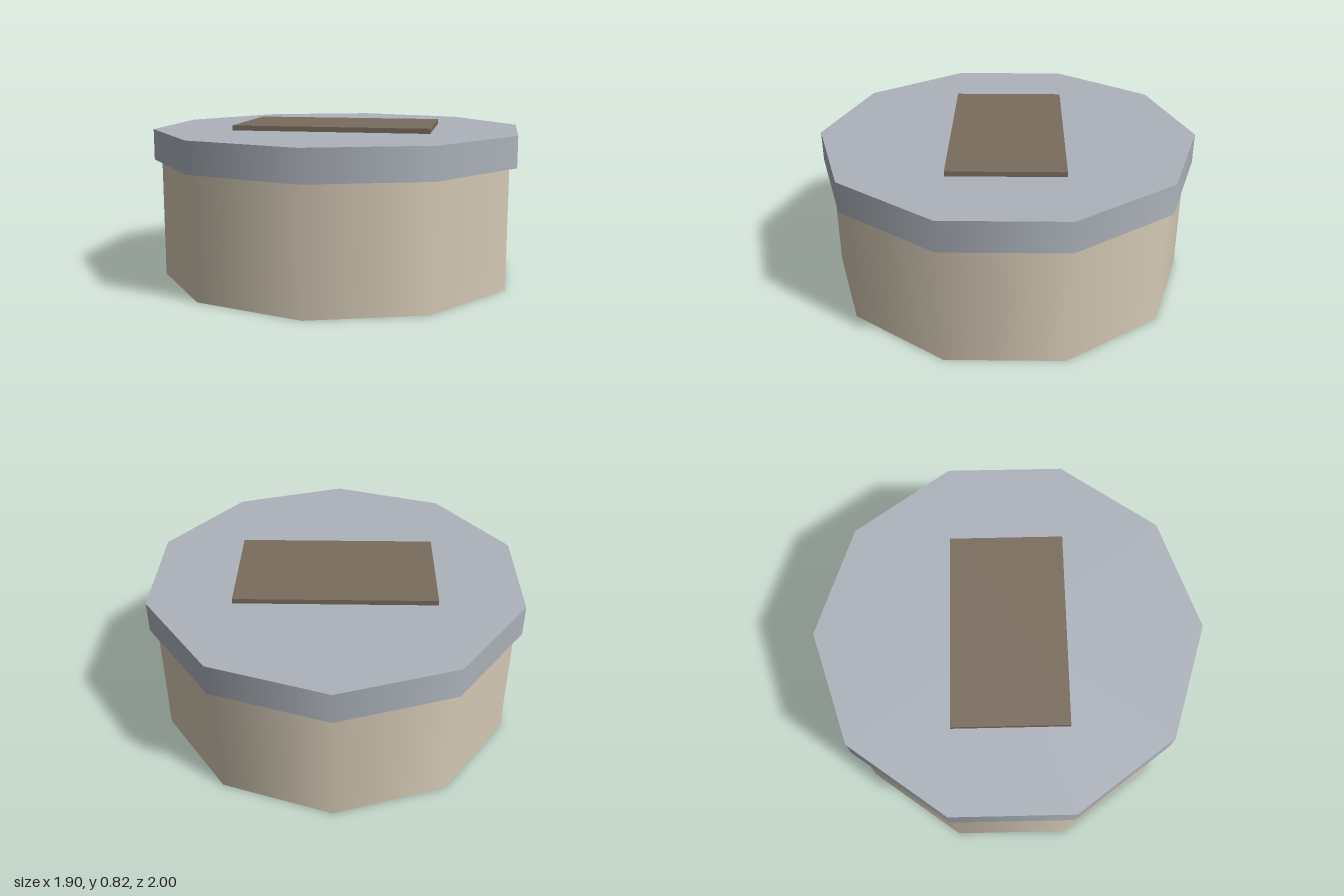
import * as THREE from 'three';

const SIDES = 10;

function material(name, color) {
  const m = new THREE.MeshStandardMaterial({ color });
  m.name = name;
  return m;
}

export function createModel() {
  const group = new THREE.Group();
  group.name = 'lidded box';

  const cream = material('cream', 0xd6cab6);
  const grey = material('blue grey', 0xadb3bc);
  const brown = material('brown', 0x796c5d);

  function add(name, geometry, mat, bottom, height) {
    const mesh = new THREE.Mesh(geometry, mat);
    mesh.name = name;
    mesh.position.y = bottom + height / 2;
    group.add(mesh);
  }

  // Ten-sided drums with smooth walls and a corner facing the front
  const drum = (radius, height) => new THREE.CylinderGeometry(radius, radius, height, SIDES);

  add('body', drum(0.96, 0.633), cream, 0, 0.633);
  add('lid', drum(1, 0.162), grey, 0.632, 0.162);

  // Flat plate on top of the lid
  add('label', new THREE.BoxGeometry(1.035, 0.026, 0.595), brown, 0.794, 0.026);

  return group;
}
